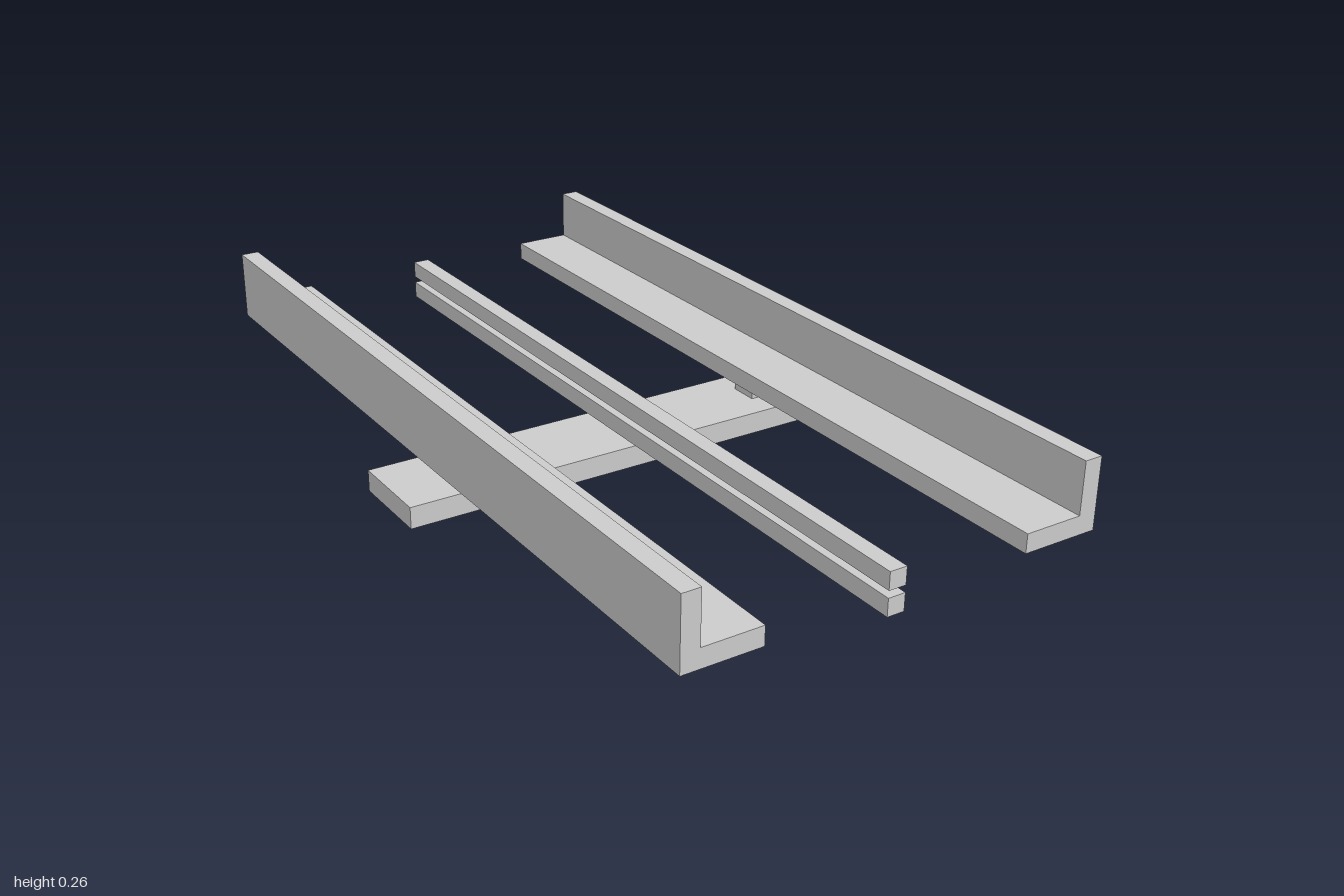
import * as THREE from 'three';

const material = new THREE.MeshStandardMaterial({ color: 0xcccccc, flatShading: true });

function add(parent, name, geometry, x = 0, y = 0, z = 0) {
  const mesh = new THREE.Mesh(geometry, material);
  mesh.name = name;
  mesh.position.set(x, y, z);
  parent.add(mesh);
}

// L-shaped section, wall on the outer side, extruded along z
function railGeometry(side) {
  const points = [[0.315, 0.1], [0.497, 0.1], [0.497, 0.265], [0.454, 0.265], [0.454, 0.144], [0.315, 0.144]];
  const shape = new THREE.Shape(points.map(([x, y]) => new THREE.Vector2(side * x, y)));
  return new THREE.ExtrudeGeometry(shape, { depth: 2, bevelEnabled: false }).translate(0, 0, -1);
}

export function createModel() {
  const model = new THREE.Group();
  model.name = 'guideway';

  // Cross beam on the ground
  add(model, 'crossBeam', new THREE.BoxGeometry(1.15, 0.051, 0.208), 0, 0.0255);

  // Angle rails on their support blocks
  for (const [side, label] of [[1, 'left'], [-1, 'right']]) {
    add(model, label + 'Support', new THREE.BoxGeometry(0.09, 0.049, 0.07), side * 0.408, 0.0755);
    add(model, label + 'Rail', railGeometry(side));
  }

  // Two stacked centre bars
  const bar = new THREE.BoxGeometry(0.041, 0.041, 1.976);
  add(model, 'lowerCentreBar', bar, 0, 0.079);
  add(model, 'upperCentreBar', bar, 0, 0.136);

  return model;
}
